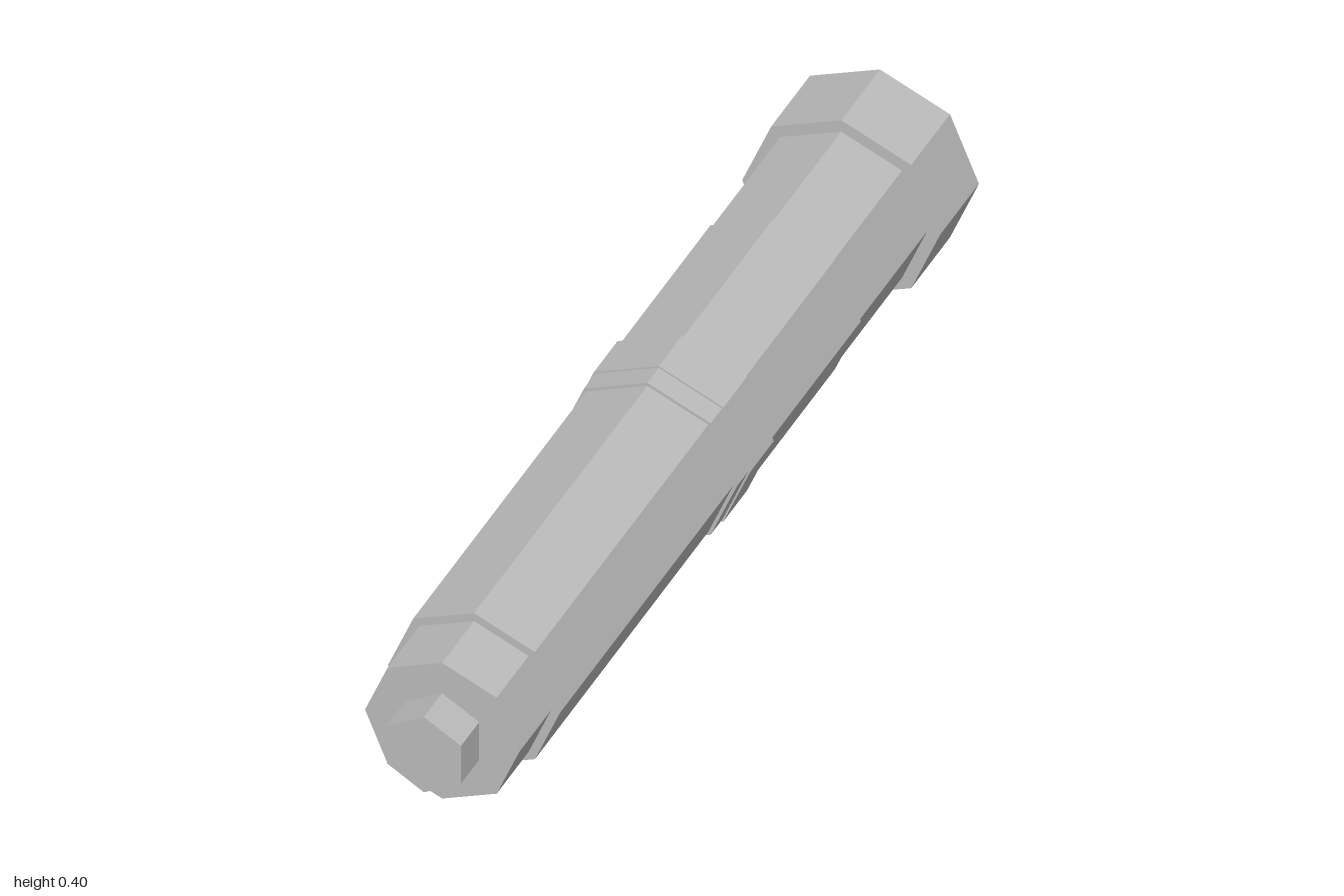
import * as THREE from 'three';

const AXIS_Y = 0.199;

export function createModel() {
  const group = new THREE.Group();
  group.name = 'handle';
  const gray = new THREE.MeshStandardMaterial({ color: 0xbbbbbb, flatShading: true });
  gray.name = 'plain gray';

  // Straight prism along z with one corner pointing up
  const section = (name, zFront, zBack, radius, sides = 8) => {
    const geometry = new THREE.CylinderGeometry(radius, radius, zFront - zBack, sides);
    geometry.rotateX(Math.PI / 2);
    const mesh = new THREE.Mesh(geometry, gray);
    mesh.name = name;
    mesh.position.set(0, AXIS_Y, (zFront + zBack) / 2);
    group.add(mesh);
  };

  // Stepped sections from the front tip to the back cap
  section('tip', 1, 0.92, 0.086, 6);
  section('neck', 0.92, 0.78, 0.155);
  section('frontBarrel', 0.78, 0.02, 0.173);
  section('collar', 0.02, -0.03, 0.18);
  section('ring', -0.03, -0.133, 0.184);
  section('grip', -0.133, -0.53, 0.177);
  section('rearBarrel', -0.53, -0.83, 0.173);
  section('endCap', -0.83, -1, 0.199);

  return group;
}
